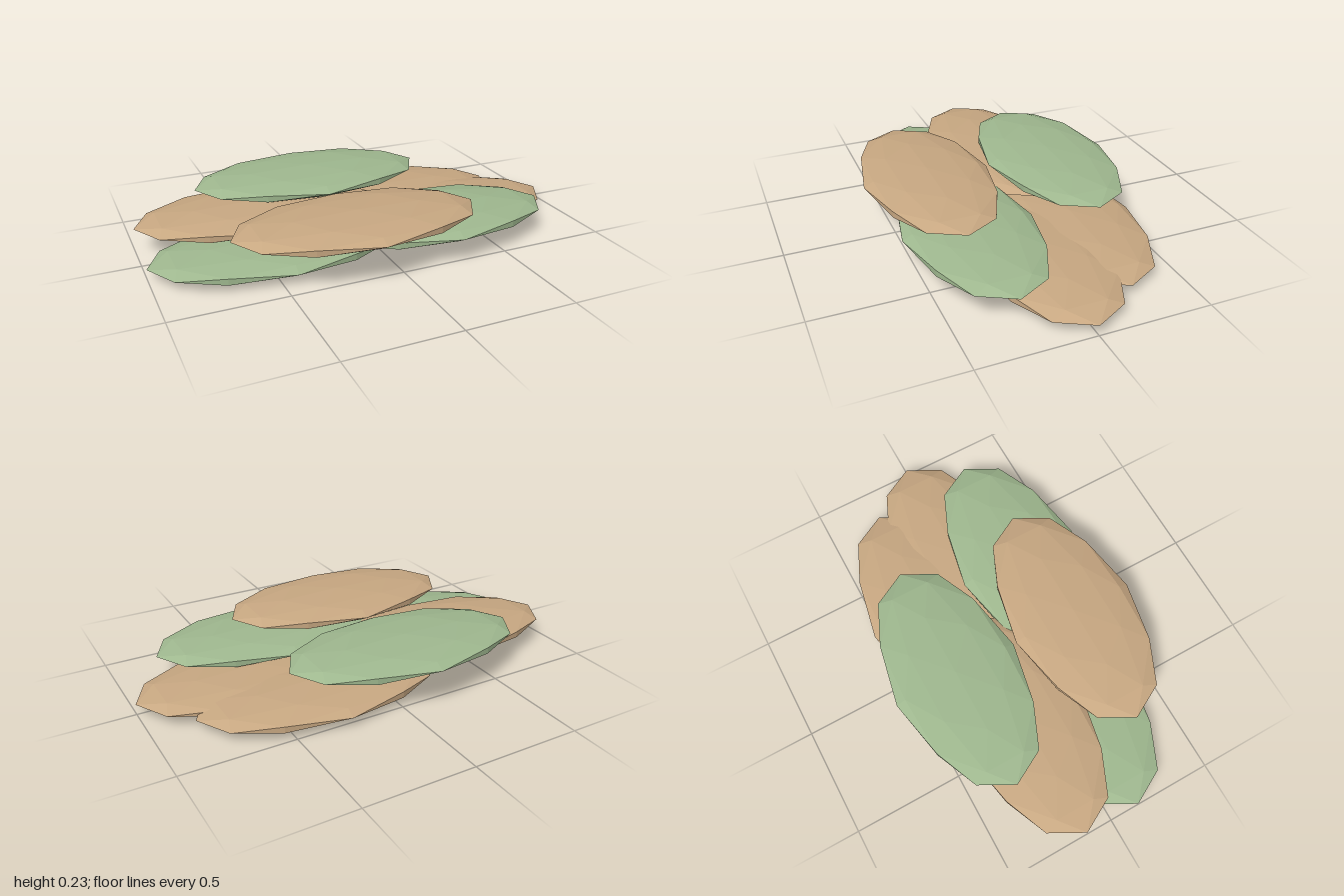
import * as THREE from 'three';

export function createModel() {
  const model = new THREE.Group();
  model.name = 'pebblePile';

  const tan = new THREE.MeshStandardMaterial({ color: 0xc8a882, flatShading: true });
  tan.name = 'sandyTan';
  const green = new THREE.MeshStandardMaterial({ color: 0x9fb88f, flatShading: true });
  green.name = 'sageGreen';

  // One flattened low-poly stone, shared by all
  const stone = new THREE.IcosahedronGeometry(1, 1);
  stone.scale(0.56, 0.047, 0.296);

  // Seven stones around an oval ring, stepping through three heights
  const count = 7;
  for (let i = 0; i < count; i++) {
    const angle = (i / count) * Math.PI * 2;
    const pebble = new THREE.Mesh(stone, i % 2 ? green : tan);
    pebble.name = `pebble${i + 1}`;
    pebble.position.set(
      -0.023 + 0.463 * Math.cos(angle),
      0.051 + 0.069 * (i % 3),
      0.311 * Math.sin(angle)
    );
    model.add(pebble);
  }
  return model;
}
